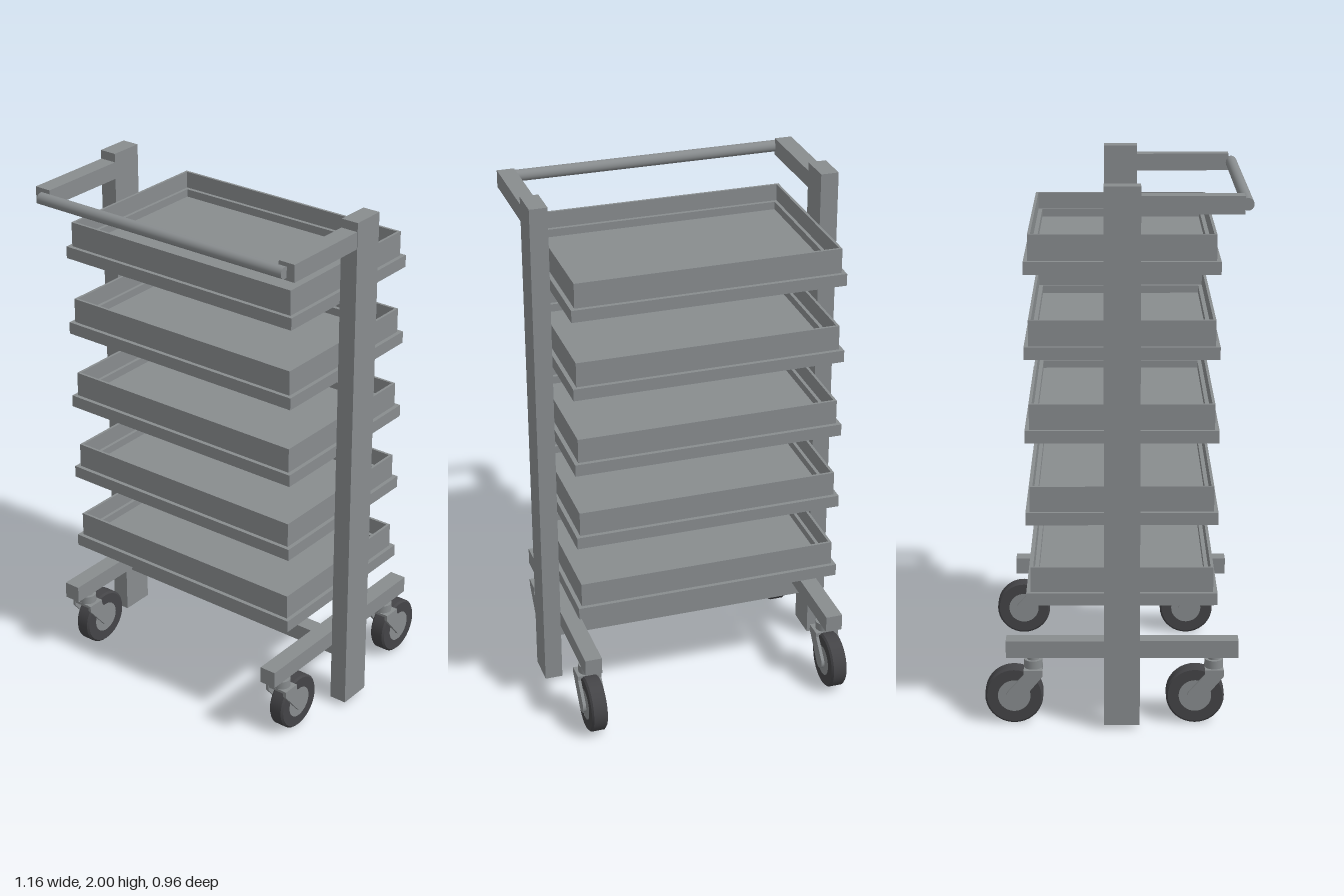
import * as THREE from 'three';

const steel = new THREE.MeshStandardMaterial({ color: 0x888c8e });
steel.name = 'greySteel';
const rubber = new THREE.MeshStandardMaterial({ color: 0x444447 });
rubber.name = 'darkRubber';

const MID_Z = 0.023; // depth centre of posts and trays

function add(parent, name, geometry, material, x = 0, y = 0, z = 0) {
  const mesh = new THREE.Mesh(geometry, material);
  mesh.name = name;
  mesh.position.set(x, y, z);
  parent.add(mesh);
  return mesh;
}

// Box given by its extents
function box(parent, name, x0, x1, y0, y1, z0, z1) {
  const g = new THREE.BoxGeometry(x1 - x0, y1 - y0, z1 - z0);
  return add(parent, name, g, steel, (x0 + x1) / 2, (y0 + y1) / 2, (z0 + z1) / 2);
}

function xCylinder(radius, length, segments = 32) {
  return new THREE.CylinderGeometry(radius, radius, length, segments).rotateZ(Math.PI / 2);
}

// Rectangular frame lying flat, standing on its own y = 0
function frame(w, d, innerW, innerD, h) {
  const rect = (path, a, b) => path.moveTo(-a / 2, -b / 2).lineTo(a / 2, -b / 2)
    .lineTo(a / 2, b / 2).lineTo(-a / 2, b / 2).closePath();
  const shape = new THREE.Shape();
  rect(shape, w, d);
  const hole = new THREE.Path();
  rect(hole, innerW, innerD);
  shape.holes.push(hole);
  return new THREE.ExtrudeGeometry(shape, { depth: h, bevelEnabled: false }).rotateX(-Math.PI / 2);
}

// Open tray: wide base, thin wall and a low inner ledge
function makeTray(y) {
  const tray = new THREE.Group();
  tray.name = 'tray';
  tray.position.set(0, y, MID_Z);
  box(tray, 'trayBase', -0.513, 0.513, 0, 0.046, -0.348, 0.348);
  add(tray, 'trayWall', frame(0.995, 0.665, 0.975, 0.645, 0.094), steel, 0, 0.046, 0);
  add(tray, 'trayLedge', frame(0.976, 0.646, 0.95, 0.615, 0.03), steel, 0, 0.046, 0);
  return tray;
}

// Swivel caster: stem at z = 0, wheel trailing behind
function makeCaster(x, z) {
  const caster = new THREE.Group();
  caster.name = 'caster';
  caster.position.set(x, 0, z);
  const axleY = 0.107, axleZ = -0.07;

  add(caster, 'swivelPin', new THREE.CylinderGeometry(0.022, 0.022, 0.03, 24), steel, 0, 0.245, 0);
  add(caster, 'swivelBearing', new THREE.CylinderGeometry(0.034, 0.034, 0.035, 24), steel, 0, 0.224, 0);
  box(caster, 'forkBridge', -0.046, 0.046, 0.2, 0.21, -0.034, 0.034);

  // Fork cheeks, tapering down to the axle
  const cheek = new THREE.Shape();
  cheek.moveTo(-0.105, 0.103);
  cheek.lineTo(-0.105, 0.08);
  cheek.absarc(0, 0, 0.03, Math.PI * 1.22, Math.PI * 2.22, false);
  cheek.lineTo(-0.036, 0.085);
  cheek.lineTo(-0.036, 0.103);
  cheek.closePath();
  const cheekGeo = new THREE.ExtrudeGeometry(cheek, { depth: 0.012, bevelEnabled: false, curveSegments: 10 })
    .rotateY(Math.PI / 2);
  for (const cx of [-0.046, 0.034]) add(caster, 'forkCheek', cheekGeo, steel, cx, axleY, axleZ);

  // Tyre with slightly rounded shoulders, and hub
  const profile = [[0.06, -0.031], [0.1, -0.031], [0.107, -0.024], [0.107, 0.024], [0.1, 0.031], [0.06, 0.031]]
    .map(([r, h]) => new THREE.Vector2(r, h));
  const tyre = new THREE.Group();
  tyre.name = 'tyre';
  tyre.position.set(0, axleY, axleZ);
  for (let i = 0; i < profile.length - 1; i++) {
    const band = new THREE.LatheGeometry([profile[i], profile[i + 1]], 36).rotateZ(Math.PI / 2);
    add(tyre, 'tyreBand', band, rubber);
  }
  caster.add(tyre);
  add(caster, 'wheelHub', xCylinder(0.062, 0.06), steel, 0, axleY, axleZ);
  add(caster, 'axle', xCylinder(0.012, 0.09, 16), steel, 0, axleY, axleZ);
  return caster;
}

export function createModel() {
  const cart = new THREE.Group();
  cart.name = 'trayCart';

  // Posts, handle arms, foot rails and casters on both sides
  for (const s of [-1, 1]) {
    const side = (name, a, b, ...rest) => box(cart, name, Math.min(s * a, s * b), Math.max(s * a, s * b), ...rest);
    side('post', 0.514, 0.582, 0.02, 2, -0.042, 0.088);
    side('handleArm', 0.514, 0.58, 1.902, 1.967, 0.086, 0.447);
    side('footRail', 0.45, 0.515, 0.255, 0.32, -0.402, 0.45);
    for (const z of [0.362, -0.303]) cart.add(makeCaster(s * 0.482, z));
  }

  // Push handle and lower cross beam
  add(cart, 'handleBar', xCylinder(0.022, 1.095), steel, 0, 1.933, 0.458);
  box(cart, 'crossBeam', -0.515, 0.515, 0.19, 0.255, MID_Z - 0.032, MID_Z + 0.032);

  // Five evenly spaced trays
  for (let i = 0; i < 5; i++) cart.add(makeTray(0.458 + i * 0.3053));

  return cart;
}
